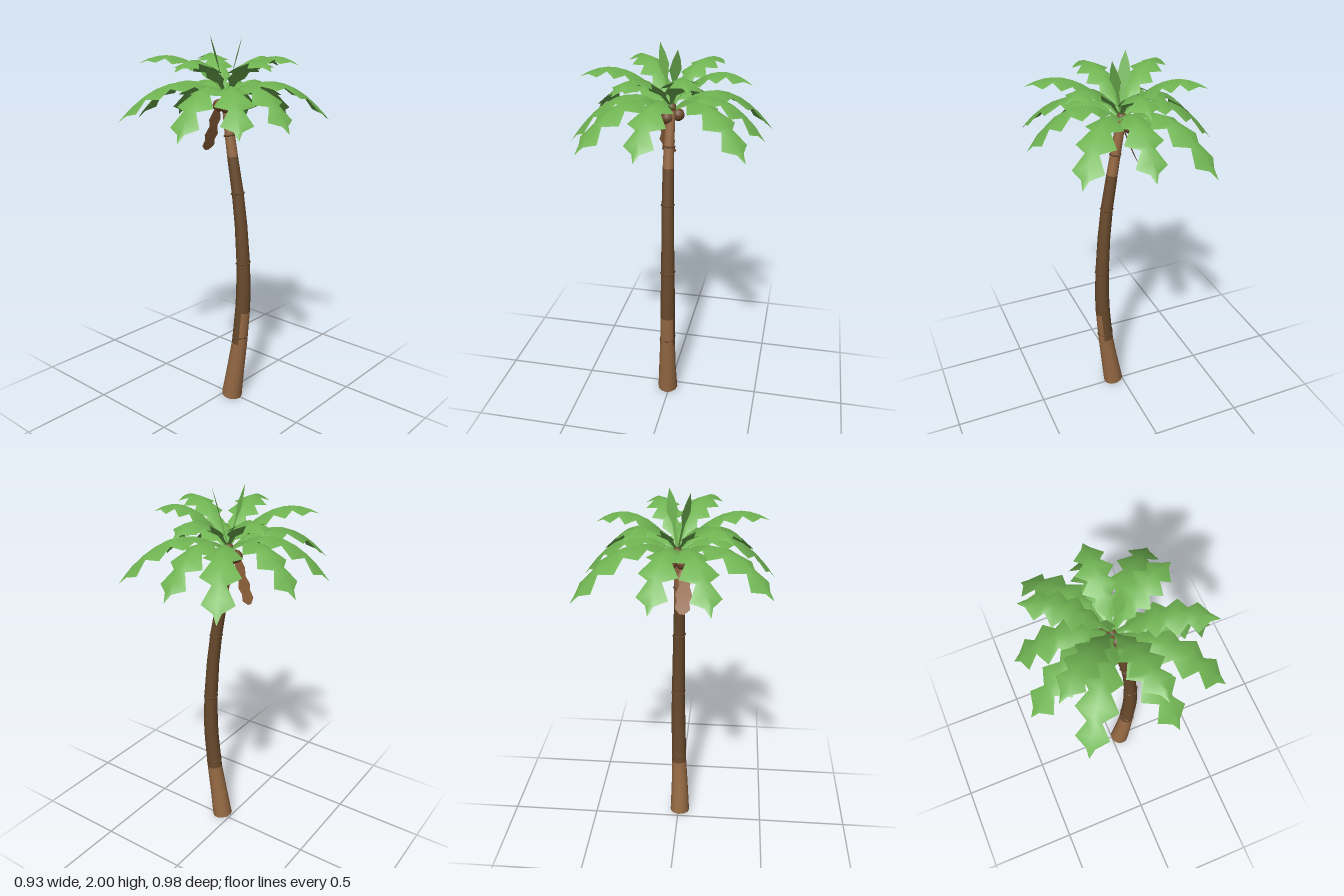
import * as THREE from 'three';

export function createModel() {
  const palm = new THREE.Group();
  palm.name = 'palmTree';
  const mat = (name, color, side = THREE.FrontSide) => {
    const m = new THREE.MeshStandardMaterial({ color, side });
    m.name = name;
    return m;
  };
  const lightBark = mat('lightBark', 0x966a44);
  const darkBark = mat('darkBark', 0x694a2c);
  const leafGreen = mat('leafGreen', 0x70b452, THREE.DoubleSide);
  const dryLeaf = mat('dryLeaf', 0x8f613a, THREE.DoubleSide);
  const nutBrown = mat('nutBrown', 0x6e4a2d);

  const add = (name, geo, material) => {
    const mesh = new THREE.Mesh(geo, material);
    mesh.name = name;
    palm.add(mesh);
    return mesh;
  };

  // Trunk cross-sections: x, y, z, radius
  const rows = [
    [0.052, 0.01, 0.01, 0.057], [0.077, 0.18, 0.007, 0.049], [0.1, 0.35, 0.001, 0.043],
    [0.116, 0.54, -0.003, 0.041], [0.12, 0.65, -0.005, 0.04], [0.117, 0.82, -0.005, 0.037],
    [0.102, 1.03, -0.002, 0.034], [0.082, 1.2, 0.002, 0.032], [0.049, 1.39, 0.006, 0.029],
    [0.03, 1.5, 0.006, 0.027], [0.0, 1.68, 0.002, 0.024],
  ];
  const sides = 12, last = rows.length - 1;
  const tangent = (i) => {
    const a = rows[Math.max(i - 1, 0)], b = rows[Math.min(i + 1, last)];
    return new THREE.Vector3(b[0] - a[0], b[1] - a[1], 0).normalize();
  };

  // Trunk skin, dark in the middle and light at both ends
  const pos = [], light = [], dark = [];
  rows.forEach(([x, y, z, r], i) => {
    const t = tangent(i);
    for (let j = 0; j < sides; j++) {
      const a = (j / sides) * Math.PI * 2, c = Math.cos(a) * r;
      pos.push(x + c * t.y, y - c * t.x, z + Math.sin(a) * r);
    }
  });
  for (let i = 0; i < last; i++) {
    for (let j = 0; j < sides; j++) {
      const a = i * sides + j, b = i * sides + (j + 1) % sides;
      const lightSide = j < 2 || j >= sides - 2;
      const isDark = i >= 2 && i < 8 && !(i === 2 && lightSide);
      (isDark ? dark : light).push(a, a + sides, b, b, a + sides, b + sides);
    }
  }
  const skin = new THREE.BufferGeometry();
  skin.setAttribute('position', new THREE.Float32BufferAttribute(pos, 3));
  skin.setIndex([...light, ...dark]);
  skin.addGroup(0, light.length, 0);
  skin.addGroup(light.length, dark.length, 1);
  skin.computeVertexNormals();
  add('trunk', skin, [lightBark, darkBark]);

  // Trunk base cap and the bud in the middle of the crown
  const zAxis = new THREE.Vector3(0, 0, 1);
  const cap = add('trunkBase', new THREE.CircleGeometry(rows[0][3], sides), lightBark);
  cap.position.set(...rows[0].slice(0, 3));
  cap.quaternion.setFromUnitVectors(zAxis, tangent(0).negate());
  add('crownBud', new THREE.SphereGeometry(0.026, 12, 8), nutBrown).position.set(0, 1.695, 0);

  // Six-cornered rings whose corners stick out of the trunk
  for (const y of [0.39, 0.82, 1.2, 1.5]) {
    const i = rows.findIndex((r) => r[1] >= y);
    const a = rows[i - 1], b = rows[i], k = (y - a[1]) / (b[1] - a[1]);
    const mix = (n) => THREE.MathUtils.lerp(a[n], b[n], k);
    const ring = add('trunkRing', new THREE.TorusGeometry(mix(3) + 0.001, 0.0055, 5, 6), darkBark);
    ring.position.set(mix(0), y, mix(2));
    ring.quaternion.setFromUnitVectors(zAxis, tangent(i));
  }

  // Leaf outlines: position along the leaf, half width
  const longOutline = [
    [0, 0.006], [0.12, 0.016], [0.23, 0.07], [0.32, 0.042], [0.44, 0.095], [0.54, 0.048],
    [0.66, 0.098], [0.76, 0.034], [0.86, 0.078], [0.935, 0.02], [1, 0.001],
  ];
  const archOutline = [
    [0, 0.006], [0.14, 0.016], [0.24, 0.05], [0.31, 0.035], [0.4, 0.085], [0.49, 0.045],
    [0.6, 0.09], [0.69, 0.038], [0.79, 0.072], [0.9, 0.02], [1, 0.001],
  ];
  const youngOutline = [[0, 0.005], [0.45, 0.01], [0.66, 0.032], [0.84, 0.02], [1, 0.001]];
  const dryOutline = [
    [0, 0.008], [0.28, 0.038], [0.42, 0.026], [0.6, 0.044], [0.72, 0.032], [0.88, 0.04], [1, 0.012],
  ];

  // Folded leaf from base to tip; a larger rise gives a higher arch
  const frond = (name, outline, base, tip, rise, fold, material) => {
    const len = Math.hypot(tip[0] - base[0], tip[2] - base[2]);
    const dx = (tip[0] - base[0]) / len, dz = (tip[2] - base[2]) / len;
    const bend = tip[1] - base[1] - rise;
    const p = [], idx = [];
    outline.forEach(([t, w], i) => {
      const y = base[1] + rise * t + bend * t * t;
      for (const s of [-1, 0, 1]) {
        p.push(base[0] + dx * len * t - dz * w * s, y - Math.abs(s) * w * fold,
          base[2] + dz * len * t + dx * w * s);
      }
      if (i > 0) {
        for (const k of [0, 1]) {
          const a = (i - 1) * 3 + k, c = a + 3;
          idx.push(a, a + 1, c, a + 1, c + 1, c);
        }
      }
    });
    const g = new THREE.BufferGeometry();
    g.setAttribute('position', new THREE.Float32BufferAttribute(p, 3));
    g.setIndex(idx);
    g.computeVertexNormals();
    add(name, g, material);
  };

  // Long drooping leaves
  for (const tip of [
    [-0.275, 1.525, -0.49], [0.03, 1.555, -0.475], [0.36, 1.56, -0.415], [-0.445, 1.555, -0.1],
    [0.464, 1.56, 0.08], [0.405, 1.56, 0.375], [0.13, 1.53, 0.487], [-0.3, 1.585, 0.467],
    [-0.467, 1.565, 0.187],
  ]) frond('lowerFrond', longOutline, [0.005, 1.68, 0], tip, 0.455, 0.42, leafGreen);

  // Raised arching leaves
  for (const tip of [
    [-0.35, 1.86, -0.215], [-0.345, 1.86, 0.275], [0.075, 1.845, 0.44], [0.427, 1.85, 0.18],
    [0.34, 1.86, -0.148], [0.025, 1.83, -0.4],
  ]) frond('upperFrond', archOutline, [0.005, 1.7, 0], tip, 0.58, 0.4, leafGreen);

  // Young upright leaves
  frond('youngFrond', youngOutline, [0, 1.7, 0], [-0.05, 2, 0.065], 0.3, 0, leafGreen);
  frond('youngFrond', youngOutline, [0, 1.7, 0], [0.065, 1.99, -0.045], 0.29, 0, leafGreen);

  // Dry hanging leaf
  frond('dryFrond', dryOutline, [-0.015, 1.66, 0.045], [-0.11, 1.41, 0.03], -0.3, 0, dryLeaf);

  // Coconuts below the crown
  for (const [x, y, z] of [[-0.03, 1.65, -0.03], [0.015, 1.645, 0.018], [-0.03, 1.65, 0.025]]) {
    add('coconut', new THREE.SphereGeometry(0.032, 12, 8), nutBrown).position.set(x, y, z);
  }
  return palm;
}
